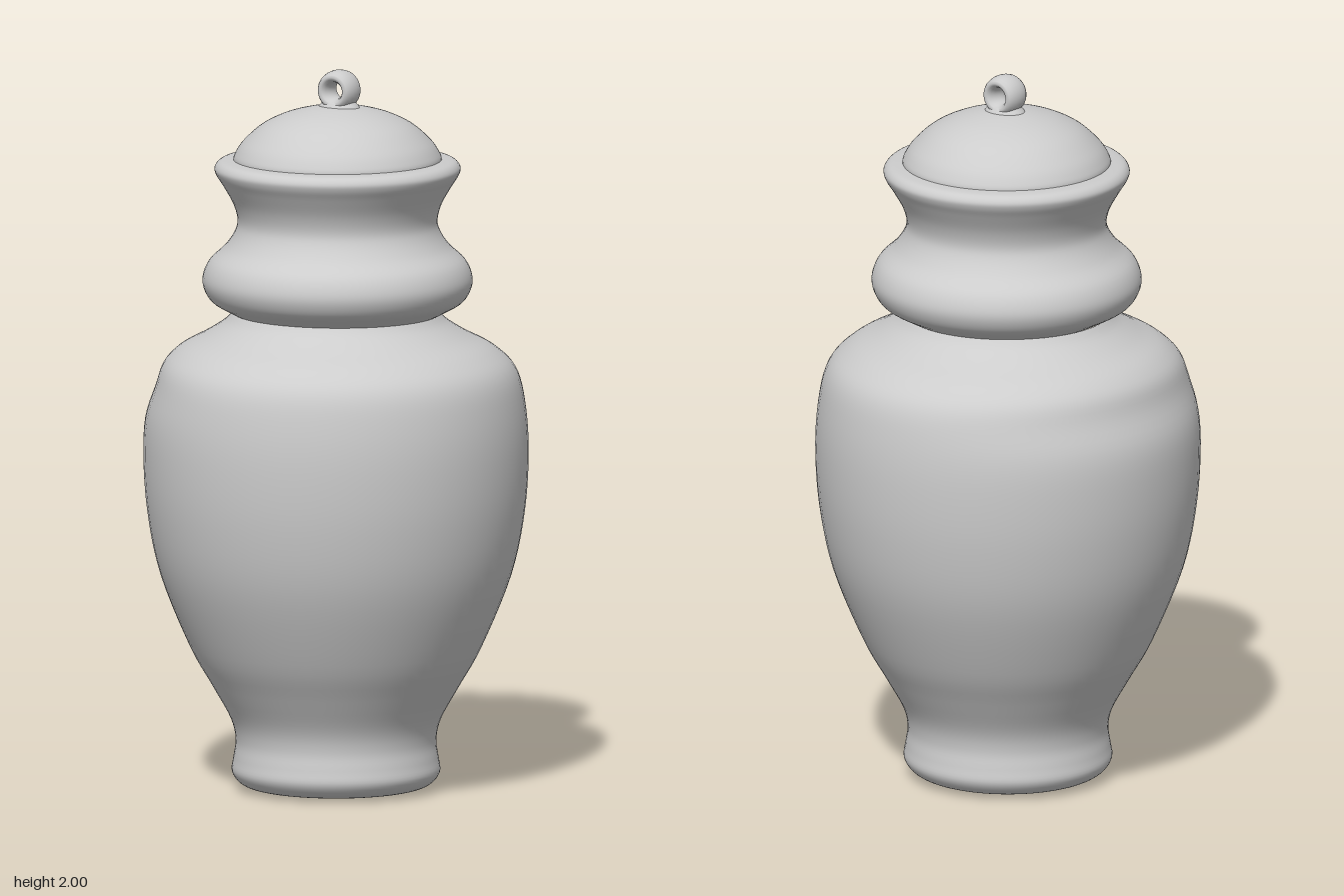
import * as THREE from 'three';
import { mergeVertices } from 'three/addons/utils/BufferGeometryUtils.js';

// Smooth turned surface from a few [radius, height] points, bottom to top
function turned(profile, steps, reshape) {
  const curve = new THREE.SplineCurve(profile.map(([r, y]) => new THREE.Vector2(r, y)));
  const points = curve.getPoints(steps);
  points.forEach((p) => { p.x = Math.max(p.x, 0); });
  let geo = new THREE.LatheGeometry(points, 72);
  geo.deleteAttribute('uv');
  geo.deleteAttribute('normal');
  geo = mergeVertices(geo, 1e-5);
  if (reshape) {
    const pos = geo.attributes.position;
    const v = new THREE.Vector3();
    for (let i = 0; i < pos.count; i++) {
      v.fromBufferAttribute(pos, i);
      reshape(v);
      pos.setXYZ(i, v.x, v.y, v.z);
    }
  }
  geo.computeVertexNormals();
  return geo;
}

export function createModel() {
  const urn = new THREE.Group();
  urn.name = 'urn';
  const grey = new THREE.MeshStandardMaterial({ color: 0xcccccc });
  grey.name = 'plain grey';

  const add = (name, geo, parent) => {
    const mesh = new THREE.Mesh(geo, grey);
    mesh.name = name;
    parent.add(mesh);
    return mesh;
  };

  // Body with foot and shoulder; the -x shoulder is slightly flattened by hand
  add('body', turned([
    [0, 0], [0.12, 0.001], [0.21, 0.005], [0.26, 0.018], [0.286, 0.05], [0.282, 0.09],
    [0.276, 0.14], [0.29, 0.2], [0.34, 0.29], [0.402, 0.4], [0.483, 0.6], [0.52, 0.78],
    [0.53, 0.95], [0.52, 1.08], [0.495, 1.17], [0.44, 1.225], [0.365, 1.265], [0.31, 1.3], [0.285, 1.326],
  ], 90, (v) => {
    const r = Math.hypot(v.x, v.z) || 1;
    const side = Math.max(0, -v.x / r);
    const dent = 1 - 0.045 * side * side * Math.exp(-(((v.y - 1.14) / 0.07) ** 2));
    v.x *= dent;
    v.z *= dent;
  }), urn);

  // Lid: bulging collar, waist, flared rim, dome and hanging loop
  const lid = new THREE.Group();
  lid.name = 'lid';
  lid.position.x = 0.005;
  urn.add(lid);

  add('collar', turned([
    [0.28, 1.322], [0.305, 1.335], [0.347, 1.36], [0.368, 1.395], [0.37, 1.43], [0.352, 1.47],
    [0.31, 1.51], [0.283, 1.55], [0.275, 1.585], [0.287, 1.63], [0.315, 1.68],
    [0.334, 1.71], [0.338, 1.73], [0.322, 1.747], [0.285, 1.752],
  ], 70), lid);

  add('dome', turned([
    [0.287, 1.748], [0.283, 1.765], [0.26, 1.8], [0.21, 1.845], [0.15, 1.875],
    [0.09, 1.892], [0.04, 1.9], [0, 1.902],
  ], 36), lid);

  // Loop sits on a small oval foot; its hole faces the front
  const loop = new THREE.Group();
  loop.name = 'loop';
  loop.position.set(0.004, 0, -0.002);
  lid.add(loop);

  const ring = add('loopRing', new THREE.TorusGeometry(0.039, 0.0175, 16, 36), loop);
  ring.position.y = 1.9435;
  ring.scale.z = 2.3;

  const foot = add('loopFoot', turned([
    [0.064, 1.885], [0.06, 1.896], [0.052, 1.906], [0.04, 1.914], [0, 1.916],
  ], 16), loop);
  foot.scale.z = 0.82;

  return urn;
}
